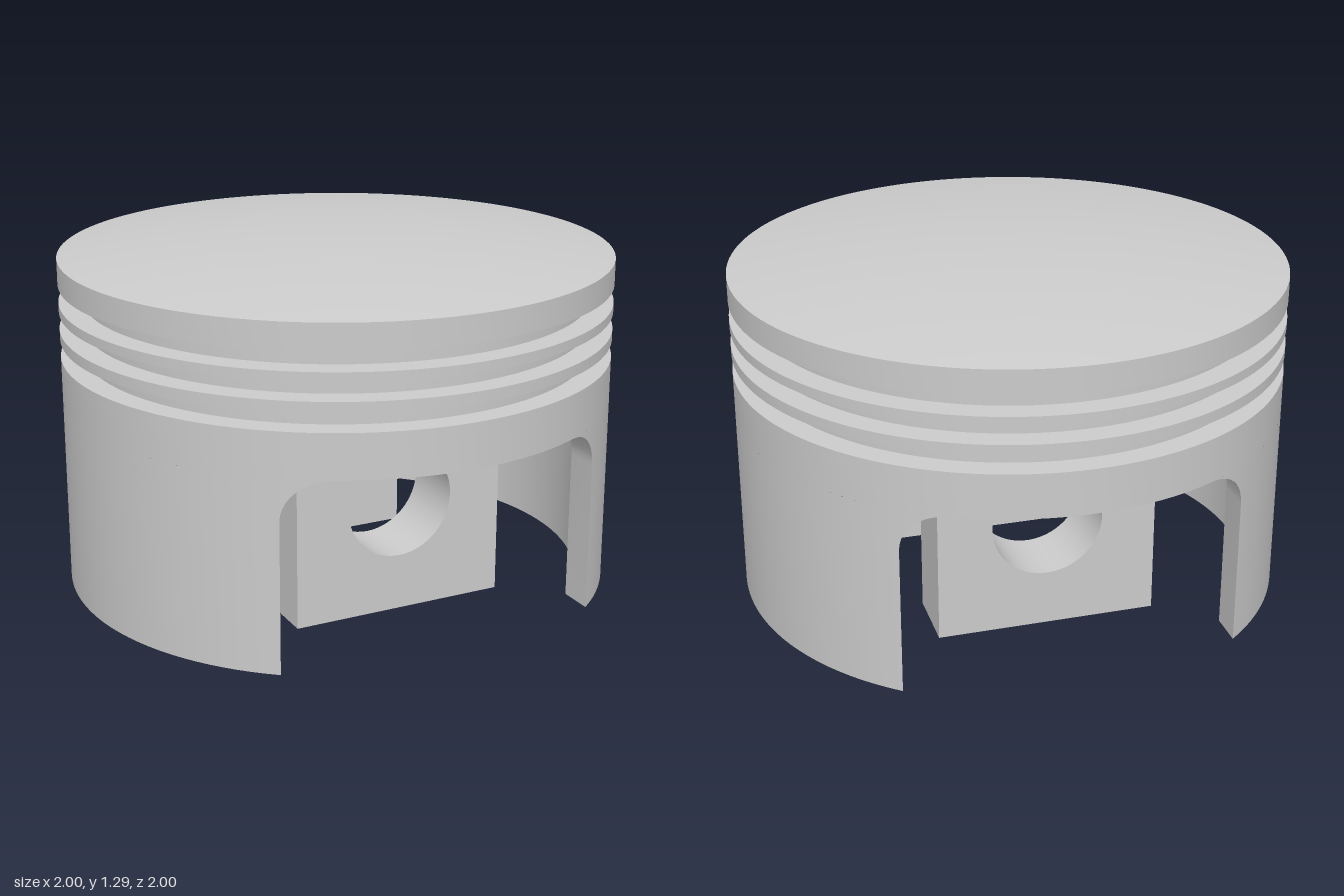
import * as THREE from 'three';
import { toCreasedNormals } from 'three/addons/utils/BufferGeometryUtils.js';

const R = 1, INNER = 0.9, GROOVE = 0.915;   // outer, inner and groove radii
const ARCH = 0.69, CEILING = 0.81;          // top of side openings, underside of crown
const HALF = 0.6, FILLET = 0.15;            // half width and corner radius of openings

const material = new THREE.MeshStandardMaterial({ color: 0xcccccc });

function addMesh(parent, name, geometry) {
  const mesh = new THREE.Mesh(geometry, material);
  mesh.name = name;
  parent.add(mesh);
  return mesh;
}

function lathe(points) {
  const profile = points.map(([r, y]) => new THREE.Vector2(r, y));
  return toCreasedNormals(new THREE.LatheGeometry(profile, 128), 0.5);
}

// Head: ring grooves cut into the side, shallow domed crown on top
function headGeometry() {
  const points = [[R, ARCH]];
  for (const [low, high] of [[0.85, 0.913], [0.953, 1.015], [1.05, 1.115]]) {
    points.push([R, low], [GROOVE, low], [GROOVE, high], [R, high]);
  }
  for (let i = 0; i <= 16; i++) {
    const r = 1 - i / 16;
    points.push([r, 1.21 + 0.08 * (1 - r * r)]);
  }
  return lathe(points);
}

// Skirt: a wall whose lower edge follows the two round-cornered openings.
// Each column holds the outer angle, the inner angle and the lower height.
function skirtGeometry() {
  const quarter = [];
  const atX = (x, h) => quarter.push([Math.asin(x / R), Math.asin(x / INNER), h]);
  for (let i = 0; i < 12; i++) atX((HALF - FILLET) * i / 12, ARCH);
  for (let i = 0; i <= 10; i++) {
    const t = i / 10 * Math.PI / 2;
    atX(HALF - FILLET + FILLET * Math.sin(t), ARCH - FILLET + FILLET * Math.cos(t));
  }
  const a0 = Math.asin(HALF / R), b0 = Math.asin(HALF / INNER);
  for (let i = 0; i <= 18; i++) {
    quarter.push([
      THREE.MathUtils.lerp(a0, Math.PI / 2, i / 18),
      THREE.MathUtils.lerp(b0, Math.PI / 2, i / 18), 0]);
  }
  const mirrored = quarter.slice(0, -1).reverse().map(([a, b, h]) => [Math.PI - a, Math.PI - b, h]);
  const half = [...quarter, ...mirrored];
  const columns = [...half, ...half.slice(1).map(([a, b, h]) => [a + Math.PI, b + Math.PI, h])];

  const point = (r, a, y) => [r * Math.sin(a), y, r * Math.cos(a)];
  const sections = columns.map(([a, b, h]) => [
    point(R, a, ARCH), point(R, a, h), point(INNER, b, h), point(INNER, b, ARCH)]);
  const positions = [];
  for (let k = 0; k < sections.length - 1; k++) {
    const s = sections[k], n = sections[k + 1];
    for (let j = 0; j < 3; j++) {
      positions.push(...s[j], ...s[j + 1], ...n[j + 1], ...s[j], ...n[j + 1], ...n[j]);
    }
  }
  const geometry = new THREE.BufferGeometry();
  geometry.setAttribute('position', new THREE.Float32BufferAttribute(positions, 3));
  return toCreasedNormals(geometry, 0.5);
}

// Pin boss: square block hanging from the crown, bored for the pin
function bossGeometry() {
  const shape = new THREE.Shape();
  shape.moveTo(-0.4, 0).lineTo(0.4, 0).lineTo(0.4, CEILING).lineTo(-0.4, CEILING).closePath();
  const bore = new THREE.Path();
  bore.absarc(0, 0.405, 0.202, 0, Math.PI * 2, true);
  shape.holes.push(bore);
  const geometry = new THREE.ExtrudeGeometry(shape, { depth: 0.25, bevelEnabled: false, curveSegments: 32 });
  return toCreasedNormals(geometry, 0.5);
}

export function createModel() {
  const model = new THREE.Group();
  model.name = 'piston';
  addMesh(model, 'head', headGeometry());
  addMesh(model, 'crownUnderside', lathe([[0, CEILING], [INNER, CEILING], [INNER, ARCH]]));
  addMesh(model, 'skirt', skirtGeometry());

  const boss = bossGeometry();
  addMesh(model, 'frontPinBoss', boss).position.z = 0.255;
  addMesh(model, 'backPinBoss', boss).position.z = -0.505;
  return model;
}
